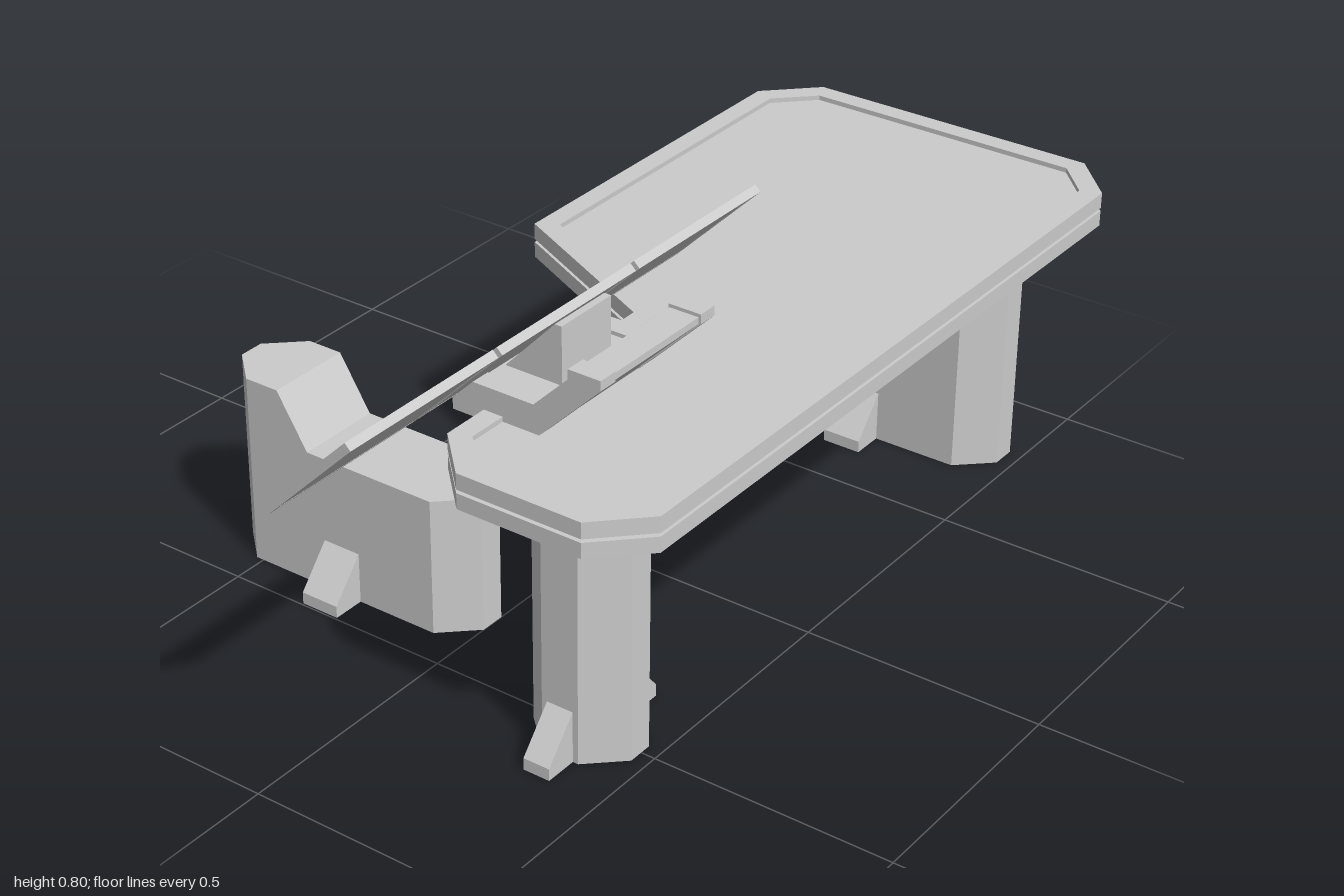
import * as THREE from 'three';

const grey = new THREE.MeshStandardMaterial({ color: 0xcccccc, flatShading: true });

function add(parent, name, geometry) {
  const mesh = new THREE.Mesh(geometry, grey);
  mesh.name = name;
  parent.add(mesh);
  return mesh;
}

const toPoints = (list) => list.map(([a, b]) => new THREE.Vector2(a, b));

// Flat plate from an x/z outline between two heights, optionally with a hole
function plate(outline, y0, y1, hole) {
  const shape = new THREE.Shape(toPoints(outline));
  if (hole) shape.holes.push(new THREE.Path(toPoints(hole)));
  return new THREE.ExtrudeGeometry(shape, { depth: y1 - y0, bevelEnabled: false })
    .rotateX(Math.PI / 2).translate(0, y1, 0);
}

// Side profile in x/y, extruded from z0 to z1
function slab(profile, z0, z1) {
  return new THREE.ExtrudeGeometry(new THREE.Shape(toPoints(profile)), { depth: z1 - z0, bevelEnabled: false })
    .translate(0, 0, z0);
}

// Mitred inward offset of a polygon whose inside lies on the left of each edge
function inset(outline, d) {
  const n = outline.length;
  const edge = (i) => {
    const [ax, ay] = outline[i % n], [bx, by] = outline[(i + 1) % n];
    const l = Math.hypot(bx - ax, by - ay);
    return [-(by - ay) / l, (bx - ax) / l];
  };
  return outline.map(([x, y], i) => {
    const p = edge(i + n - 1), q = edge(i);
    const k = d / (1 + p[0] * q[0] + p[1] * q[1]);
    return [x + (p[0] + q[0]) * k, y + (p[1] + q[1]) * k];
  });
}

const rect = (w, d) => [[-w / 2, -d / 2], [w / 2, -d / 2], [w / 2, d / 2], [-w / 2, d / 2]];

// Loft of upright rectangular sections along x: [x, half depth, height]
function loft(sections, zc) {
  const pos = [], index = [];
  for (const [x, hw, h] of sections)
    pos.push(x, 0, zc + hw, x, h, zc + hw, x, h, zc - hw, x, 0, zc - hw);
  const last = (sections.length - 1) * 4;
  for (let s = 0; s < last; s += 4)
    for (let k = 0; k < 4; k++) {
      const a = s + k, b = s + (k + 1) % 4;
      index.push(a, a + 4, b, b, a + 4, b + 4);
    }
  index.push(0, 1, 2, 0, 2, 3, last, last + 2, last + 1, last, last + 3, last + 2);
  const g = new THREE.BufferGeometry();
  g.setAttribute('position', new THREE.Float32BufferAttribute(pos, 3));
  g.setIndex(index);
  const flat = g.toNonIndexed();
  flat.computeVertexNormals();
  return flat;
}

// Pair of wedge feet on the two broad faces of a pedestal
function addFeet(parent, x, zc, width) {
  for (const side of [1, -1]) {
    const foot = add(parent, 'foot', slab(
      [[-0.02, 0], [0.07, 0], [0.07, 0.025], [0, 0.108], [-0.02, 0.108]], -width / 2, width / 2));
    foot.rotation.y = -side * Math.PI / 2;
    foot.position.set(x, 0, zc + side * 0.0925);
  }
}

// Chamfered pedestal from x0 to x1 with feet
function pedestal(name, x0, x1, zc, height, footWidth) {
  const group = new THREE.Group();
  group.name = name;
  add(group, 'pedestal', loft([
    [x0, 0.027, height], [x0 + 0.07, 0.0925, height],
    [x1 - 0.07, 0.0925, height], [x1, 0.027, height]], zc));
  addFeet(group, (x0 + x1) / 2, zc, footWidth);
  return group;
}

export function createModel() {
  const model = new THREE.Group();

  // Table top: two rims with a groove between them around a recessed core
  const outline = [
    [-0.14, -1], [0.49, -1], [0.585, -0.9], [0.585, 0.61], [0.49, 0.705],
    [0.225, 0.705], [0.13, 0.61], [0.13, 0.06], [-0.24, -0.12], [-0.24, -0.9]];
  const inner = inset(outline, 0.042);
  const top = new THREE.Group();
  top.name = 'tableTop';
  add(top, 'lowerRim', plate(outline, 0.525, 0.557, inner));
  add(top, 'upperRim', plate(outline, 0.564, 0.597, inner));
  add(top, 'tableCore', plate(inset(outline, 0.04), 0.55, 0.587));
  model.add(top);

  // Table legs
  model.add(pedestal('frontLeg', 0.25, 0.47, 0.503, 0.56, 0.057));
  model.add(pedestal('backLeg', -0.12, 0.47, -0.783, 0.56, 0.085));

  // Seat with a raised back
  const seat = new THREE.Group();
  seat.name = 'seat';
  add(seat, 'seatBody', loft([
    [-0.587, 0.027, 0.404], [-0.517, 0.0925, 0.404], [-0.44, 0.0925, 0.404],
    [-0.37, 0.0925, 0.292], [-0.07, 0.0925, 0.292], [0, 0.027, 0.292]], 0.333));
  addFeet(seat, -0.293, 0.333, 0.085);
  model.add(seat);

  // Screen stand: two cheeks, a slightly lower middle and a wedge support
  const stand = new THREE.Group();
  stand.name = 'screenStand';
  const cheek = [
    [0.06, 0.575], [0.24, 0.575], [0.262, 0.597], [0.385, 0.72], [0.385, 0.74],
    [0.315, 0.74], [0.315, 0.72], [0.24, 0.645], [0.105, 0.645], [0.06, 0.6]];
  const middle = [
    [0.06, 0.575], [0.24, 0.575], [0.258, 0.597], [0.38, 0.719], [0.38, 0.733],
    [0.318, 0.733], [0.318, 0.712], [0.243, 0.637], [0.1, 0.637], [0.06, 0.6]];
  add(stand, 'cheek', slab(cheek, 0.17, 0.212));
  add(stand, 'cheek', slab(cheek, 0.465, 0.508));
  add(stand, 'standMiddle', slab(middle, 0.212, 0.465));
  add(stand, 'wedgeSupport', slab([[0.1, 0.63], [0.232, 0.63], [0.232, 0.755], [0.217, 0.755]], 0.27, 0.415));
  model.add(stand);

  // Three tilted screens in a row, each a framed panel
  for (let i = 0; i < 3; i++) {
    const screen = new THREE.Group();
    screen.name = 'screen';
    const frame = rect(0.266, 0.383);
    add(screen, 'screenFrame', plate(frame, -0.0085, 0.0085, inset(frame, 0.013)));
    add(screen, 'screenPanel', plate(inset(frame, 0.012), -0.008, 0.004));
    screen.position.set(0.152, 0.702, 0.0215 + i * 0.3935);
    screen.rotation.z = Math.PI / 4;
    model.add(screen);
  }
  return model;
}
